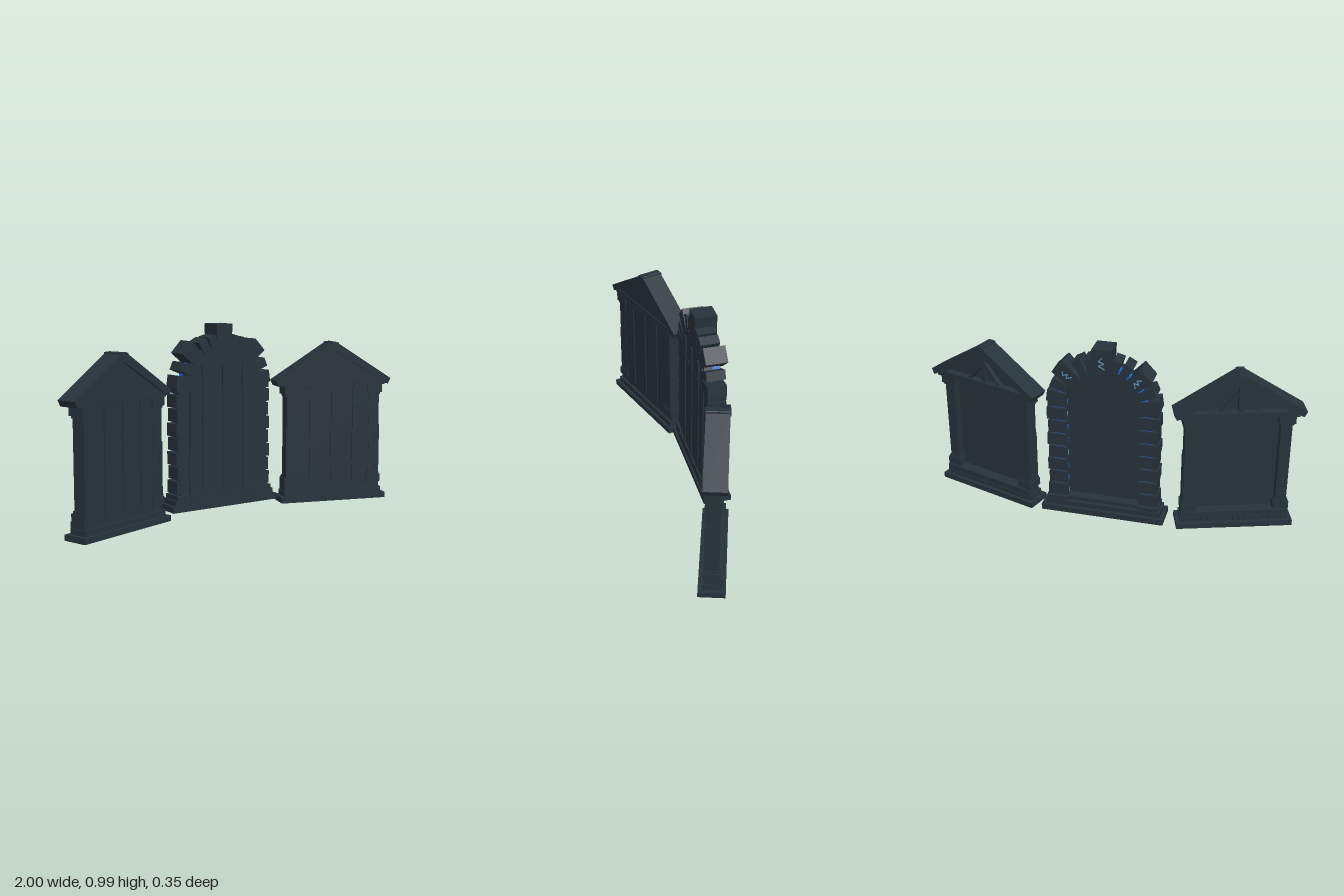
import * as THREE from 'three';

const material = (name, color) => {
  const m = new THREE.MeshStandardMaterial({ color });
  m.name = name;
  return m;
};

export function createModel() {
  const slate = material('dark slate', 0x26323b);
  const glow = material('deep blue glow', 0x2560c8);
  const rune = material('pale blue rune', 0x5f8fb0);
  const model = new THREE.Group();

  const add = (parent, name, geometry, mat = slate) => {
    const mesh = new THREE.Mesh(geometry, mat);
    mesh.name = name;
    parent.add(mesh);
    return mesh;
  };
  // Box given by its extents on each axis
  const box = (parent, name, x0, x1, y0, y1, z0, z1, mat) => {
    const mesh = add(parent, name, new THREE.BoxGeometry(x1 - x0, y1 - y0, z1 - z0), mat);
    mesh.position.set((x0 + x1) / 2, (y0 + y1) / 2, (z0 + z1) / 2);
    return mesh;
  };
  // Flat outline extruded from z0 to z1
  const slab = (parent, name, outline, z0, z1) => {
    const shape = outline instanceof THREE.Shape
      ? outline : new THREE.Shape(outline.map(([x, y]) => new THREE.Vector2(x, y)));
    const g = new THREE.ExtrudeGeometry(shape, { depth: z1 - z0, bevelEnabled: false, curveSegments: 24 });
    return add(parent, name, g.translate(0, 0, z0));
  };
  // Thin bar between two points in the xy plane
  const bar = (parent, name, [ax, ay], [bx, by], width, z0, z1, mat) => {
    const g = new THREE.BoxGeometry(Math.hypot(bx - ax, by - ay), width, z1 - z0);
    const mesh = add(parent, name, g, mat);
    mesh.position.set((ax + bx) / 2, (ay + by) / 2, (z0 + z1) / 2);
    mesh.rotation.z = Math.atan2(by - ay, bx - ax);
  };

  // ---- Gabled side bay, planked in front and colonnaded behind ----
  const sideBay = (name) => {
    const bay = new THREE.Group();
    bay.name = name;

    // Stepped plinth
    box(bay, 'plinthLower', -0.304, 0.304, 0, 0.03, -0.054, 0.08);
    box(bay, 'plinthMiddle', -0.284, 0.284, 0.03, 0.06, -0.034, 0.062);
    box(bay, 'plinthUpper', -0.278, 0.278, 0.06, 0.09, -0.04, 0.048);
    for (let i = -8; i <= 8; i++) {
      const x = i * 0.032;
      box(bay, 'plinthDentil', x - 0.009, x + 0.009, 0.035, 0.057, -0.043, -0.03);
      box(bay, 'corniceDentil', x - 0.009, x + 0.009, 0.63, 0.645, 0.04, 0.058);
    }

    // Wall with raised battens
    box(bay, 'wall', -0.265, 0.265, 0.09, 0.64, 0.02, 0.05);
    for (const x of [-0.125, 0, 0.125]) {
      box(bay, 'batten', x - 0.013, x + 0.013, 0.1, 0.635, 0.045, 0.056);
    }

    // Square corner columns
    for (const s of [-1, 1]) {
      const block = (part, a, b, y0, y1, z0, z1) =>
        box(bay, part, Math.min(s * a, s * b), Math.max(s * a, s * b), y0, y1, z0, z1);
      block('columnShaft', 0.212, 0.27, 0.13, 0.6, -0.02, 0.052);
      block('columnSidePanel', 0.25, 0.274, 0.14, 0.41, -0.005, 0.053);
      block('columnFoot', 0.2, 0.282, 0.09, 0.13, -0.03, 0.058);
      block('columnFootRing', 0.206, 0.276, 0.13, 0.142, -0.025, 0.055);
      block('capitalRing', 0.206, 0.276, 0.58, 0.592, -0.025, 0.055);
      block('capital', 0.198, 0.284, 0.592, 0.635, -0.032, 0.06);
    }

    // Entablature, gable wall and roof
    box(bay, 'entablature', -0.3, 0.3, 0.635, 0.666, -0.04, 0.056);
    slab(bay, 'gableWall', [[-0.29, 0.66], [0.29, 0.66], [0, 0.845]], 0, 0.05);
    slab(bay, 'roof', [
      [-0.333, 0.668], [-0.318, 0.638], [-0.27, 0.664], [0, 0.826], [0.27, 0.664],
      [0.318, 0.638], [0.333, 0.668], [0.02, 0.866], [0.014, 0.873], [-0.014, 0.873], [-0.02, 0.866],
    ], -0.05, 0.062);
    box(bay, 'ridgeCap', -0.022, 0.022, 0.852, 0.87, -0.053, 0.065);

    // Gable truss on the back
    bar(bay, 'kingPost', [0, 0.66], [0, 0.835], 0.02, -0.03, 0.005);
    for (const s of [-1, 1]) {
      bar(bay, 'trussBrace', [s * 0.1, 0.66], [0, 0.775], 0.016, -0.025, 0.005);
      bar(bay, 'innerRafter', [s * 0.26, 0.668], [0, 0.825], 0.018, -0.038, 0.005);
    }
    return bay;
  };
  for (const s of [-1, 1]) {
    const bay = sideBay(s > 0 ? 'leftBay' : 'rightBay');
    bay.position.set(s * 0.667, 0, 0.003);
    bay.rotation.y = -s * 0.314;
    model.add(bay);
  }

  // ---- Central stone arch ----
  const arch = new THREE.Group();
  arch.name = 'centralArch';
  model.add(arch);
  const springY = 0.66;

  // Base
  box(arch, 'archBase', -0.327, 0.327, 0.03, 0.062, -0.175, -0.03);
  box(arch, 'archBaseStep', -0.308, 0.308, 0.062, 0.09, -0.158, -0.042);
  box(arch, 'threshold', -0.21, 0.21, 0.062, 0.112, -0.14, -0.04);

  // Arched door with battens
  const door = new THREE.Shape();
  door.moveTo(-0.215, 0.09);
  door.lineTo(0.215, 0.09);
  door.lineTo(0.215, springY);
  door.absarc(0, springY, 0.212, 0, Math.PI, false);
  door.lineTo(-0.215, 0.09);
  slab(arch, 'door', door, -0.09, -0.052);
  box(arch, 'doorLowerPanel', -0.212, 0.212, 0.1, springY, -0.06, -0.049);
  for (const x of [-0.125, 0, 0.125]) {
    box(arch, 'doorBatten', x - 0.015, x + 0.015, 0.112, 0.782, -0.06, -0.044);
  }

  // Jamb stones with a glowing core showing in the joints
  for (const s of [-1, 1]) {
    const span = (part, a, b, y0, y1, z0, z1, mat) =>
      box(arch, part, Math.min(s * a, s * b), Math.max(s * a, s * b), y0, y1, z0, z1, mat);
    span('jambFoot', 0.187, 0.297, 0.09, 0.112, -0.156, -0.044);
    span('jambCore', 0.2, 0.272, 0.1, springY, -0.102, -0.056);
    span('jambGlow', 0.2, 0.262, 0.1, springY, -0.138, -0.102, glow);
    for (let i = 0; i < 8; i++) {
      const y = 0.119 + i * 0.0745;
      const outer = i % 2 ? 0.286 : 0.292;
      span('jambStone', 0.19, outer, y, y + 0.066, -0.148, -0.055);
      span('jambRune', 0.187, 0.19, y + 0.012, y + 0.04, -0.125, -0.119, i % 3 ? glow : rune);
    }
  }

  // Glowing band behind the arch stones
  const band = new THREE.Shape();
  band.absarc(0, springY, 0.235, 0, Math.PI, false);
  band.absarc(0, springY, 0.207, Math.PI, 0, true);
  slab(arch, 'archGlow', band, -0.136, -0.1).material = glow;
  slab(arch, 'archCore', band, -0.1, -0.056);

  // Wedge stones: angle from horizontal, half width, inner and outer radius, back depth
  const wedge = (name, degrees, half, inner, outer, back) => {
    const stone = new THREE.Group();
    stone.name = name;
    stone.position.y = springY;
    stone.rotation.z = THREE.MathUtils.degToRad(degrees - 90);
    const foot = half * 0.86;
    slab(stone, name + 'Block', [[-foot, inner], [foot, inner], [half, outer], [-half, outer]], back, -0.05);
    arch.add(stone);
    return stone;
  };
  // Zigzag mark on the back of a stone
  const mark = (stone, y, size, back) => {
    const points = [[-0.5, -0.9], [0.4, -0.4], [-0.4, 0], [0.4, 0.3], [-0.1, 0.9]]
      .map(([x, v]) => [x * size, y + v * size]);
    for (let i = 1; i < points.length; i++) {
      bar(stone, 'runeStroke', points[i - 1], points[i], 0.005, back - 0.003, back + 0.002, rune);
    }
    box(stone, 'runeUnderside', -size * 0.5, size * 0.5, 0.183, 0.186, -0.13, -0.123, rune);
  };
  const stones = [
    ['springStone', 8, 0.032, 0.19, 0.293, -0.148],
    ['haunchStone', 24, 0.024, 0.19, 0.29, -0.148],
    ['largeStone', 43, 0.043, 0.186, 0.31, -0.163],
    ['smallStone', 61, 0.024, 0.19, 0.28, -0.15],
    ['crownStone', 74, 0.022, 0.19, 0.275, -0.15],
  ];
  for (const [name, angle, half, inner, outer, back] of stones) {
    for (const a of [angle, 180 - angle]) {
      const stone = wedge(name, a, half, inner, outer, back);
      if (name === 'largeStone') mark(stone, 0.248, 0.03, back);
    }
  }
  mark(wedge('keystone', 90, 0.05, 0.186, 0.325, -0.165), 0.255, 0.035, -0.165);

  return model;
}
